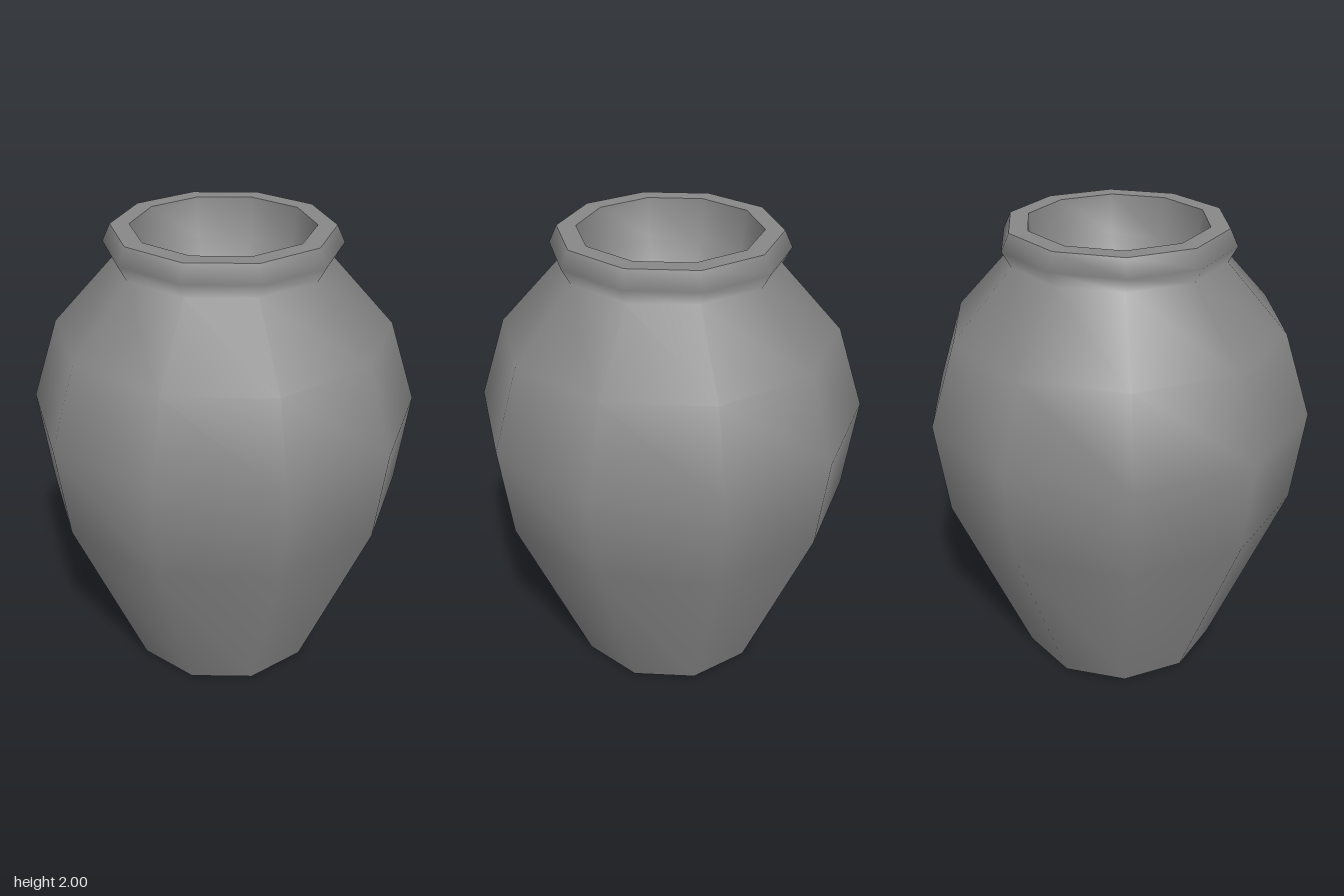
import * as THREE from 'three';
import { mergeVertices } from 'three/addons/utils/BufferGeometryUtils.js';

const SIDES = 10;
const material = new THREE.MeshStandardMaterial({ color: 0x888888, side: THREE.DoubleSide });

// Smooth ten-sided surface of revolution with a corner on the x axis; profile is [radius, y]
function turned(name, profile) {
  const points = profile.map(([r, y]) => new THREE.Vector2(r, y));
  const lathe = new THREE.LatheGeometry(points, SIDES, Math.PI / 2);
  lathe.deleteAttribute('normal');
  lathe.deleteAttribute('uv');
  const geometry = mergeVertices(lathe);
  geometry.computeVertexNormals();
  const mesh = new THREE.Mesh(geometry, material);
  mesh.name = name;
  return mesh;
}

export function createModel() {
  const jar = new THREE.Group();
  jar.name = 'jar';

  // Belly, shoulder, neck and flared collar, open underneath
  jar.add(turned('body', [
    [0.445, 0], [0.768, 0.83], [0.814, 1.235], [0.698, 1.585],
    [0.445, 1.865], [0.481, 1.93], [0.448, 2],
  ]));

  // Flat lip around the mouth
  jar.add(turned('lip', [[0.448, 2], [0.371, 2]]));

  // Rounded bowl inside the mouth
  jar.add(turned('bowl', [
    [0.371, 2], [0.345, 1.83], [0.25, 1.7], [0.13, 1.63], [0, 1.61],
  ]));

  return jar;
}
